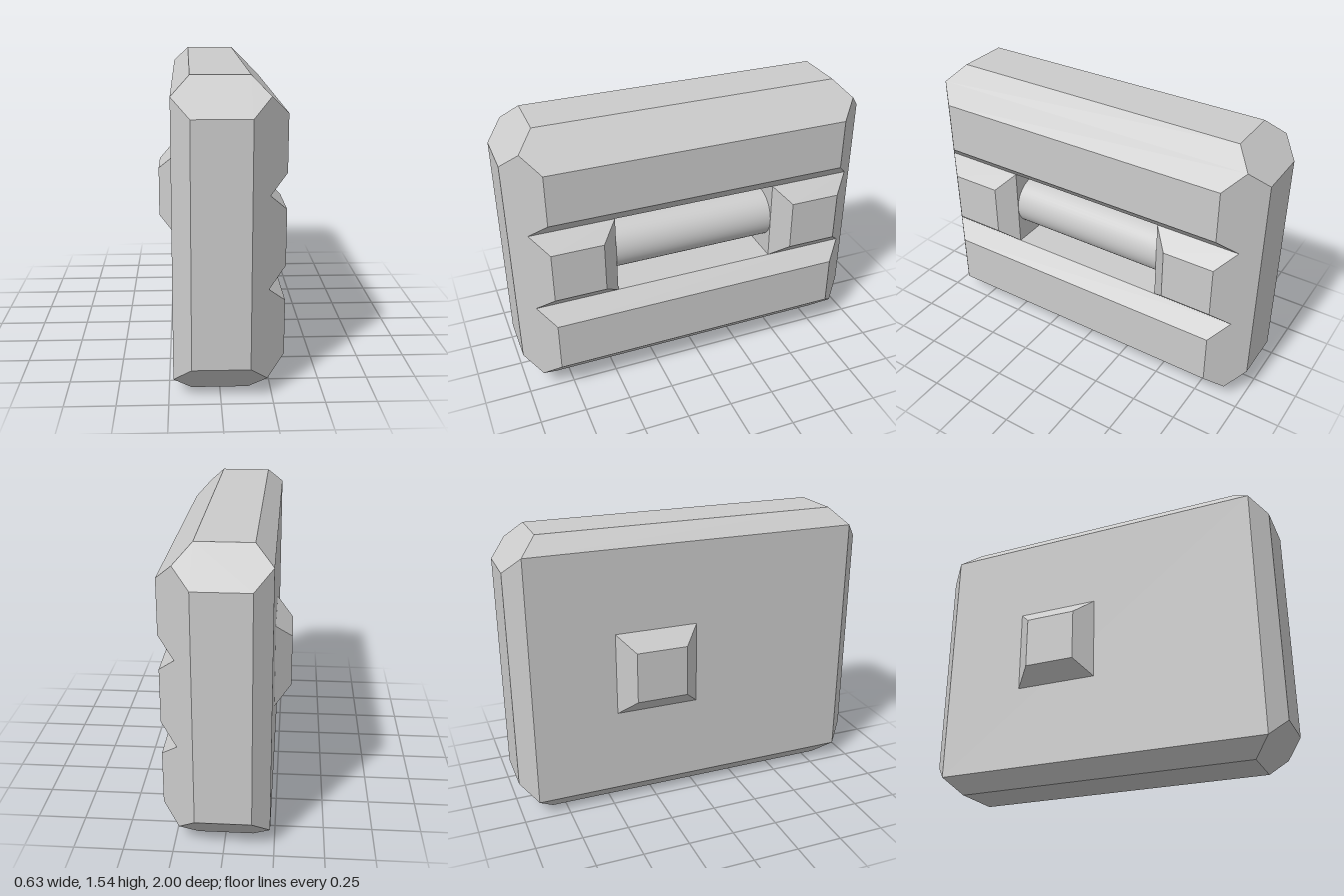
import * as THREE from 'three';

const C = 0.456;            // side of one cell
const B = 0.088;            // bevel
const H = C / 2;            // half thickness of the slab
const MID = 1.5 * C + B;    // mid height
const material = new THREE.MeshStandardMaterial({ color: 0xcccccc, flatShading: true });
const smooth = new THREE.MeshStandardMaterial({ color: 0xcccccc });

// Octagonal ring in the y-z plane: half sizes hy, hz and corner cut (0 gives a rectangle)
function ring(x, cy, cz, hy, hz, cut = 0) {
  return [
    [-hy + cut, -hz], [hy - cut, -hz], [hy, -hz + cut], [hy, hz - cut],
    [hy - cut, hz], [-hy + cut, hz], [-hy, hz - cut], [-hy, -hz + cut],
  ].map(([y, z]) => new THREE.Vector3(x, cy + y, cz + z));
}

// Skin a row of rings with flat faces, with optional caps
function loft(name, rings, capStart, capEnd) {
  const pos = [];
  const tri = (a, b, c) => {
    const area = b.clone().sub(a).cross(c.clone().sub(a)).length();
    if (area > 1e-9) for (const p of [a, b, c]) pos.push(p.x, p.y, p.z);
  };
  for (let i = 0; i < rings.length - 1; i++) {
    const a = rings[i], b = rings[i + 1];
    for (let j = 0; j < 8; j++) {
      const k = (j + 1) % 8;
      tri(a[j], b[k], a[k]);
      tri(a[j], b[j], b[k]);
      // flip so that rings running towards +x face outwards
      }
  }
  const first = rings[0], last = rings[rings.length - 1];
  for (let j = 1; j < 7; j++) {
    if (capStart) tri(first[0], first[j], first[j + 1]);
    if (capEnd) tri(last[0], last[j + 1], last[j]);
  }
  // Reverse every triangle to the outward order
  for (let i = 0; i < pos.length; i += 9) {
    for (let k = 0; k < 3; k++) {
      [pos[i + 3 + k], pos[i + 6 + k]] = [pos[i + 6 + k], pos[i + 3 + k]];
    }
  }
  const geometry = new THREE.BufferGeometry();
  geometry.setAttribute('position', new THREE.Float32BufferAttribute(pos, 3));
  geometry.computeVertexNormals();
  const mesh = new THREE.Mesh(geometry, material);
  mesh.name = name;
  return mesh;
}

// Bevelled pad raised from the slab, side = 1 for the +x face, -1 for the -x face
function pad(name, side, cy, cz, hy, hz) {
  const base = ring(side * H, cy, cz, hy, hz);
  const top = ring(side * (H + B), cy, cz, hy - B, hz - B);
  return side > 0 ? loft(name, [base, top], false, true) : loft(name, [top, base], true, false);
}

export function createModel() {
  const model = new THREE.Group();
  model.name = 'slottedBlock';

  // Bevelled slab, open on +x where the pads and the pocket close it
  const edge = (x) => ring(x, MID, 0, 1.5 * C + B, 2 * C + B, 2 * B);
  const rim = (x) => ring(x, MID, 0, 1.5 * C, 2 * C);
  model.add(loft('slab', [rim(-H), edge(-H + B), edge(H - B), rim(H)], true, false));

  // Long bars above and below, short blocks at both ends of the pocket
  for (const s of [1, -1]) {
    model.add(pad(s > 0 ? 'upperBar' : 'lowerBar', 1, MID + s * C, 0, H, 2 * C));
    model.add(pad(s > 0 ? 'frontBlock' : 'backBlock', 1, MID, s * 1.5 * C, H, H));
  }

  // Knob on the flat face
  model.add(pad('knob', -1, MID, -H, H, H));

  // Pocket walls and floor, running inwards from the mouth
  model.add(loft('pocket', [ring(H, MID, 0, H, C), ring(-H + B, MID, 0, H, C)], false, true));

  // Round bar across the pocket
  const bar = new THREE.Mesh(new THREE.CylinderGeometry(H - B, H - B, 2 * C, 48, 1, true), smooth);
  bar.name = 'crossBar';
  bar.rotation.x = Math.PI / 2;
  bar.position.set(B, MID, 0);
  model.add(bar);

  return model;
}
